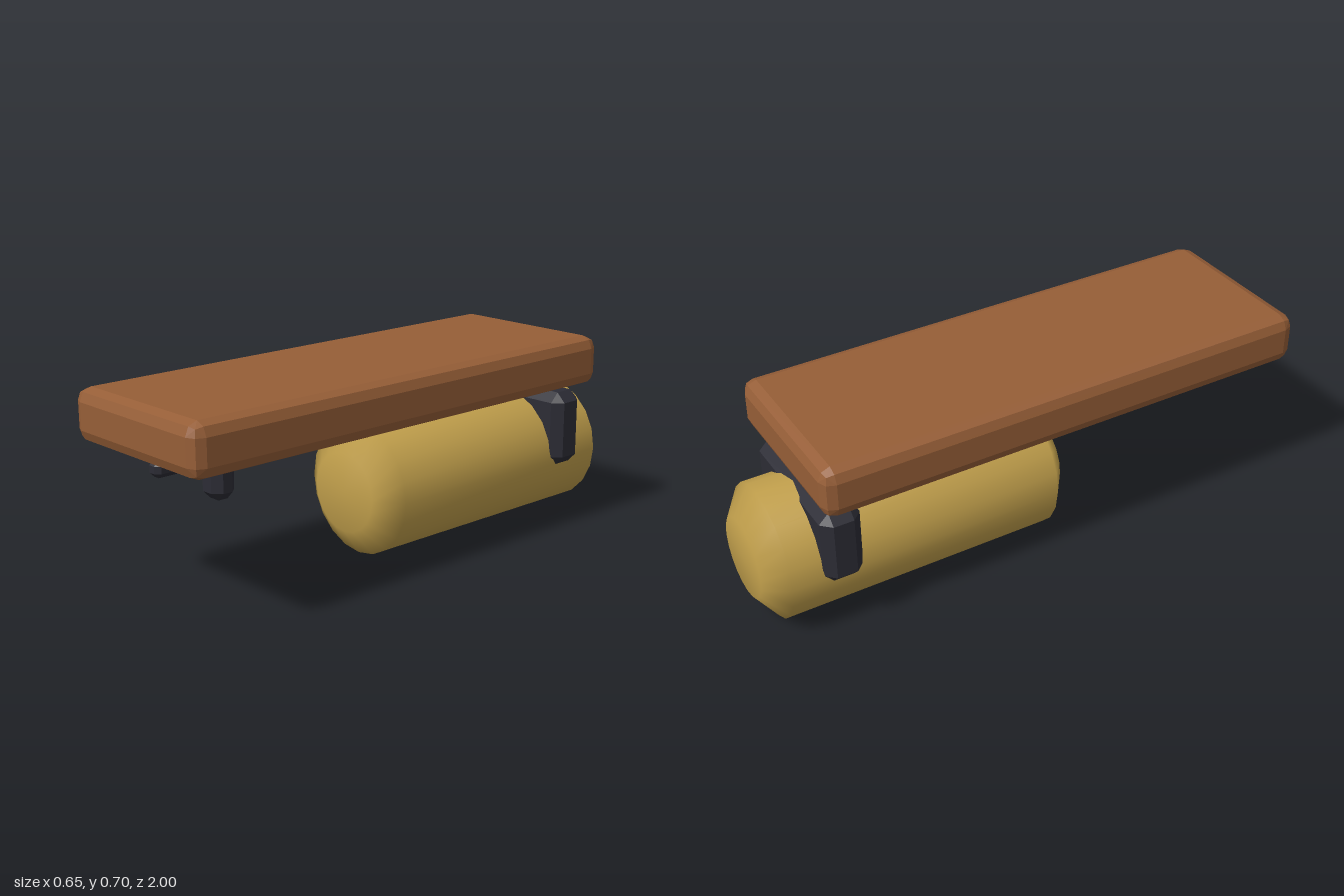
import * as THREE from 'three';
import { ConvexGeometry } from 'three/addons/geometries/ConvexGeometry.js';

const wood = new THREE.MeshStandardMaterial({ name: 'brown wood', color: 0x965e37 });
const brass = new THREE.MeshStandardMaterial({ name: 'brass', color: 0xc2a04c });
const iron = new THREE.MeshStandardMaterial({ name: 'dark iron', color: 0x2c2c35 });

// Box with bevelled edges, given by its two extreme corners; one or two bevel steps
function bevelBox(name, min, max, bevel, steps, material) {
  const h = Math.SQRT1_2, c = 1 / Math.sqrt(3);
  const dirs = [[1, 0, 0], [0, 1, 0], [0, 0, 1]];
  if (steps === 2) dirs.push([h, h, 0], [h, 0, h], [0, h, h], [c, c, c]);
  const half = min.map((v, i) => (max[i] - v) / 2);
  const points = [];
  for (const sx of [-1, 1]) for (const sy of [-1, 1]) for (const sz of [-1, 1]) {
    const s = [sx, sy, sz];
    for (const d of dirs) {
      points.push(new THREE.Vector3(...d.map((v, i) => s[i] * (half[i] - bevel + v * bevel))));
    }
  }
  const mesh = new THREE.Mesh(new ConvexGeometry(points), material);
  mesh.name = name;
  mesh.position.set(...min.map((v, i) => (v + max[i]) / 2));
  return mesh;
}

export function createModel() {
  const model = new THREE.Group();
  model.name = 'pedal';

  // Wooden top board
  model.add(bevelBox('board', [-0.323, 0.524, -0.83], [0.323, 0.705, 1], 0.044, 2, wood));

  // Round drum with tapered ends, lying along z
  const profile = [[0, -1], [0.143, -1], [0.238, -0.93], [0.238, 0.07], [0.143, 0.14], [0, 0.14]]
    .map(([r, z]) => new THREE.Vector2(r, z));
  const drum = new THREE.Mesh(new THREE.LatheGeometry(profile, 20), brass);
  drum.name = 'drum';
  drum.rotation.x = Math.PI / 2;
  drum.position.y = 0.239;
  model.add(drum);

  // Bracket around the back of the drum
  model.add(bevelBox('bracket', [-0.267, 0.215, -0.82], [0.267, 0.493, -0.678], 0.035, 1, iron));

  // Long rod under the board, with two posts
  model.add(bevelBox('rod', [-0.028, 0.459, -0.75], [0.028, 0.515, 0.93], 0.016, 1, iron));
  for (const [name, z] of [['frontPost', 0.678], ['rearPost', -0.51]]) {
    model.add(bevelBox(name, [-0.05, 0.34, z - 0.046], [0.05, 0.508, z + 0.046], 0.028, 1, iron));
  }
  return model;
}
